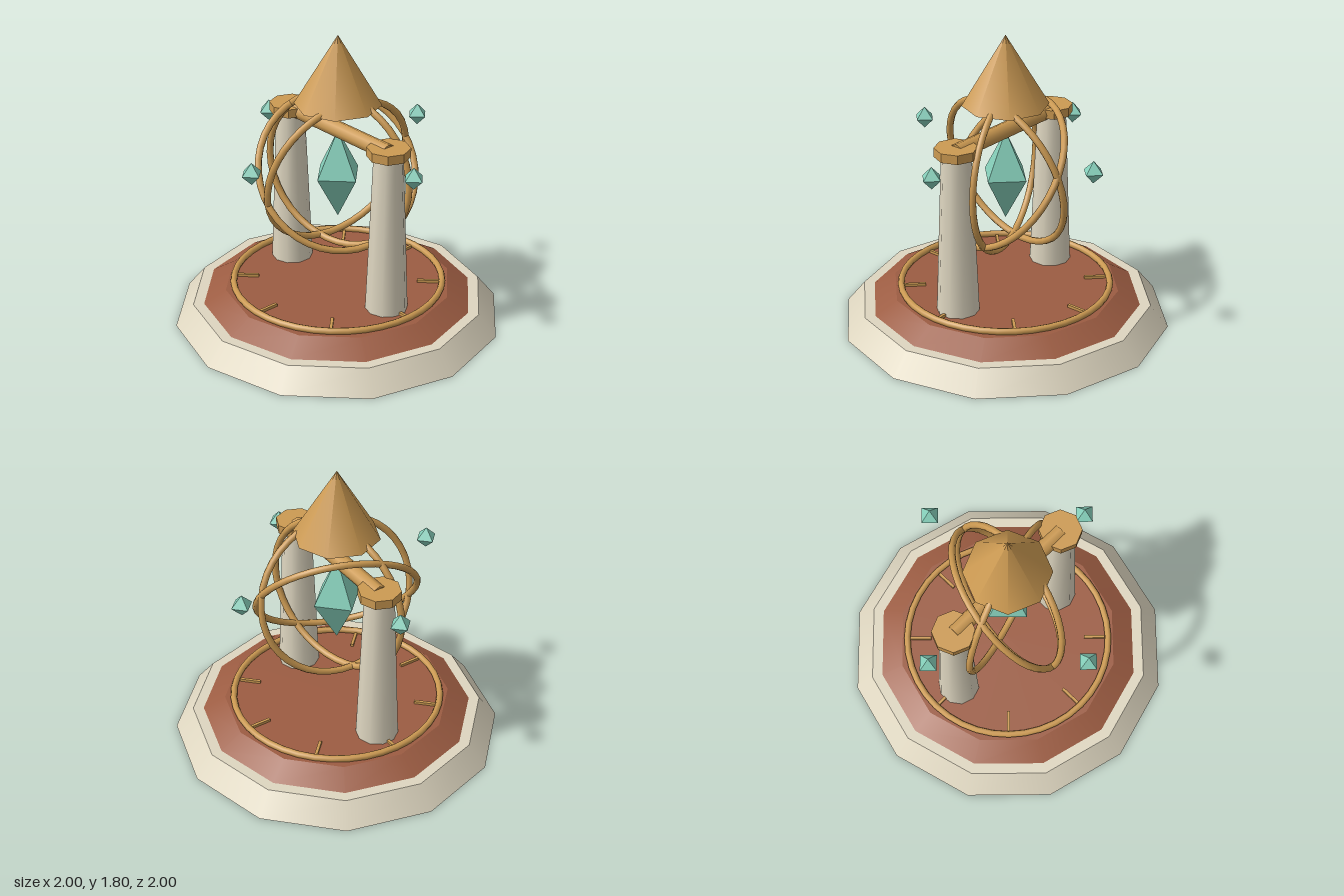
import * as THREE from 'three';

const material = (color, flatShading = false) => new THREE.MeshStandardMaterial({ color, flatShading });

export function createModel() {
  const model = new THREE.Group();
  model.name = 'armillaryShrine';
  const stone = material(0xded6c0);
  const clay = material(0x9c5c42);
  const brass = material(0xcc9a52);
  const brassFlat = material(0xcc9a52, true);
  const crystal = material(0x86cfba, true);

  const add = (name, geometry, mat, x = 0, y = 0, z = 0, parent = model) => {
    const mesh = new THREE.Mesh(geometry, mat);
    mesh.name = name;
    mesh.position.set(x, y, z);
    parent.add(mesh);
    return mesh;
  };

  // Twelve-sided stepped base
  add('basePlinth', new THREE.CylinderGeometry(0.89, 1, 0.135, 12), stone, 0, 0.0675);
  add('baseDais', new THREE.CylinderGeometry(0.69, 0.825, 0.08, 12), clay, 0, 0.175);

  // Dial ring and hour marks on the dais
  add('dialRing', new THREE.TorusGeometry(0.636, 0.02, 8, 40), brass, 0, 0.232).rotation.x = Math.PI / 2;
  for (let i = 0; i < 8; i++) {
    const a = (i * Math.PI) / 4;
    const mark = add('dialMark', new THREE.BoxGeometry(0.018, 0.02, 0.13), brass,
      Math.sin(a) * 0.55, 0.222, Math.cos(a) * 0.55);
    mark.rotation.y = a;
  }

  // Tapered pillars with octagonal caps, joined by a crossbeam
  for (const side of [-1, 1]) {
    const label = side > 0 ? 'left' : 'right';
    add(label + 'Pillar', new THREE.CylinderGeometry(0.087, 0.127, 0.99, 10), stone, side * 0.436, 0.705);
    add(label + 'PillarCap', new THREE.CylinderGeometry(0.127, 0.127, 0.055, 8), brassFlat, side * 0.436, 1.226);
  }
  add('crossbeam', new THREE.CylinderGeometry(0.049, 0.049, 0.872, 8), brass, 0, 1.22).rotation.z = Math.PI / 2;

  // Conical roof
  add('roof', new THREE.ConeGeometry(0.257, 0.425, 8), brass, 0, 1.5925);

  // Three interlocking rings, each set by the normal of its plane
  const rings = new THREE.Group();
  rings.name = 'armillaryRings';
  rings.position.y = 0.957;
  model.add(rings);
  const forward = new THREE.Vector3(0, 0, 1);
  const normals = [[0.296, 0, 0.955], [0.962, -0.24, 0.13], [0.76, 0.576, 0.3]];
  for (const n of normals) {
    const ring = add('armillaryRing', new THREE.TorusGeometry(0.483, 0.021, 8, 40), brass, 0, 0, 0, rings);
    ring.quaternion.setFromUnitVectors(forward, new THREE.Vector3(...n).normalize());
  }

  // Central crystal and four floating shards
  add('centralCrystal', new THREE.OctahedronGeometry(0.16), crystal, 0, 0.935).scale.y = 1.75;
  for (let i = 0; i < 4; i++) {
    const a = (i * Math.PI) / 2;
    add('floatingShard', new THREE.OctahedronGeometry(0.068), crystal,
      Math.sin(a) * 0.644, 1.133, Math.cos(a) * 0.644);
  }

  return model;
}
